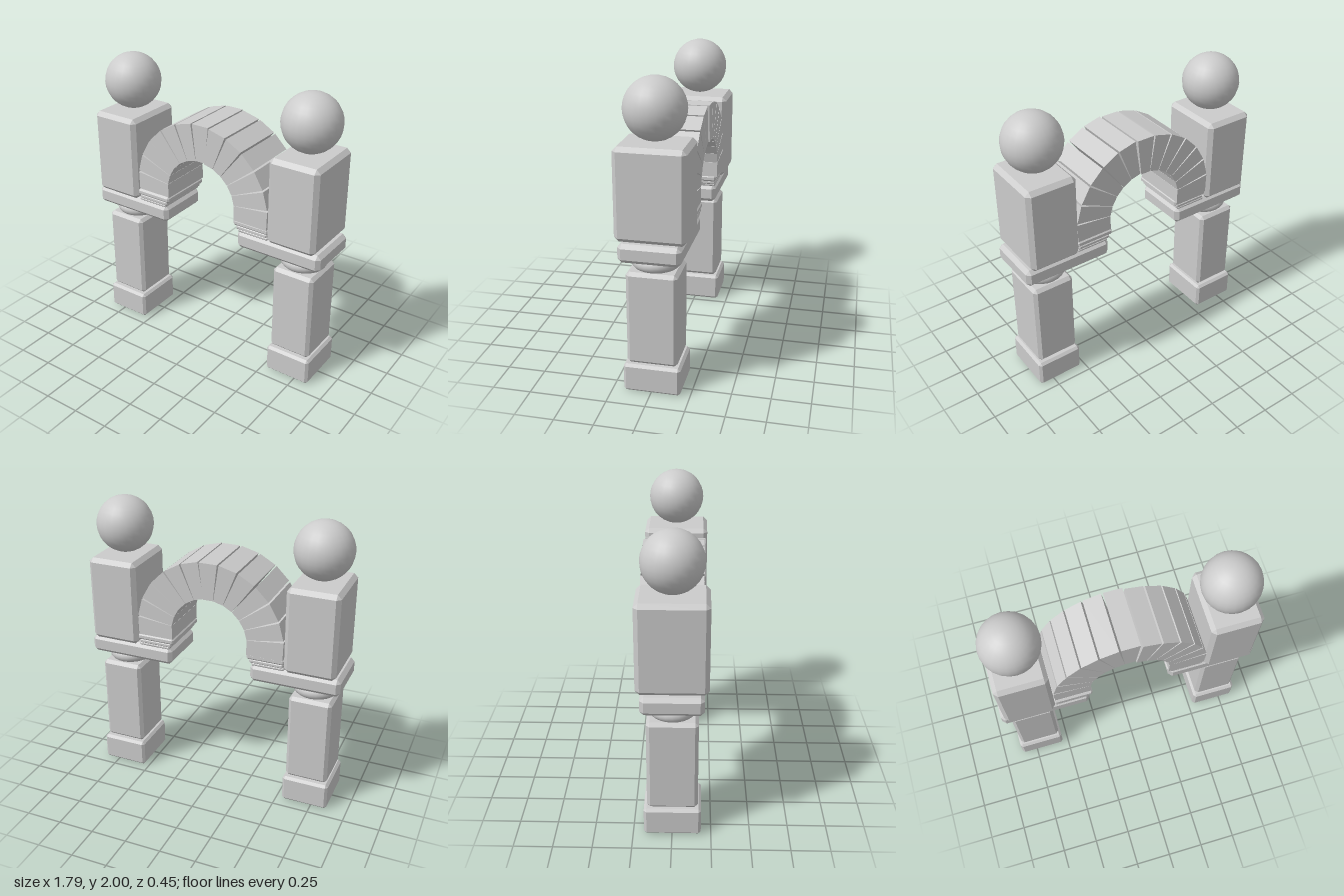
import * as THREE from 'three';
import { ConvexGeometry } from 'three/addons/geometries/ConvexGeometry.js';

const stoneMat = new THREE.MeshStandardMaterial({ color: 0xcccccc, flatShading: true });
const smoothMat = new THREE.MeshStandardMaterial({ color: 0xcccccc });

function add(parent, name, geometry, material, x = 0, y = 0, z = 0) {
  const mesh = new THREE.Mesh(geometry, material);
  mesh.name = name;
  mesh.position.set(x, y, z);
  parent.add(mesh);
  return mesh;
}

// Box with every edge chamfered by b
function chamferBox(w, h, d, b) {
  const points = [];
  for (const sx of [-1, 1]) for (const sy of [-1, 1]) for (const sz of [-1, 1]) {
    const x = sx * w / 2, y = sy * h / 2, z = sz * d / 2;
    points.push(
      new THREE.Vector3(x, y - sy * b, z - sz * b),
      new THREE.Vector3(x - sx * b, y, z - sz * b),
      new THREE.Vector3(x - sx * b, y - sy * b, z));
  }
  return new ConvexGeometry(points);
}

// One pillar; side is +1 or -1 and mirrors the offset parts
function createTower(side) {
  const tower = new THREE.Group();
  tower.name = side > 0 ? 'leftTower' : 'rightTower';
  tower.position.set(side * 0.692 - 0.004, 0, side > 0 ? -0.006 : 0.002);

  // name, width, bottom, top, depth, chamfer, shift away from the arch
  const blocks = [
    ['base', 0.322, 0.005, 0.195, 0.366, 0.017, 0.005],
    ['shaft', 0.293, 0.198, 0.82, 0.324, 0.022, 0.004],
    ['slab', 0.614, 0.9, 1.022, 0.392, 0.026, -0.102],
    ['upperBlock', 0.348, 1.022, 1.61, 0.446, 0.028, 0.004],
    ['impostFoot', 0.228, 1.018, 1.042, 0.386, 0.008, -0.285],
    ['impostNeck', 0.234, 1.036, 1.066, 0.392, 0.008, -0.294],
    ['impostCap', 0.266, 1.062, 1.106, 0.404, 0.012, -0.298],
  ];
  for (const [name, w, y0, y1, d, b, shift] of blocks) {
    add(tower, name, chamferBox(w, y1 - y0, d, b), stoneMat, side * shift, (y0 + y1) / 2, 0);
  }

  // Rounded collar under the slab
  const profile = [new THREE.Vector2(0, -0.043)];
  for (let i = 0; i <= 10; i++) {
    const a = -Math.PI / 2 + i * Math.PI / 10;
    profile.push(new THREE.Vector2(0.114 + 0.043 * Math.cos(a), 0.043 * Math.sin(a)));
  }
  profile.push(new THREE.Vector2(0, 0.043));
  add(tower, 'collar', new THREE.LatheGeometry(profile, 24), smoothMat, 0, 0.862, 0);

  add(tower, 'ball', new THREE.SphereGeometry(0.192, 24, 16), smoothMat, 0, 1.808, 0);
  return tower;
}

// Wedge stones in a half ring; the lowest pair have flat beds
function createArch() {
  const arch = new THREE.Group();
  arch.name = 'arch';
  const inner = 0.272, outer = 0.524, centreY = 1.169, bed = 1.1, depth = 0.4;
  const step = THREE.MathUtils.degToRad(15);
  for (let i = -6; i <= 6; i++) {
    const corner = (r, edge) => {
      const a = (i + edge / 2) * step;
      const half = edge * (r === outer ? 0.006 : 0.001);
      return new THREE.Vector2(
        r * Math.sin(a) - half * Math.cos(a),
        centreY + r * Math.cos(a) + half * Math.sin(a));
    };
    const points = [corner(inner, -1), corner(outer, -1), corner(outer, 1), corner(inner, 1)];
    if (i === 6) { points[2].set(0.517, bed); points[3].set(0.268, bed); }
    if (i === -6) { points[0].set(-0.268, bed); points[1].set(-0.517, bed); }
    const geometry = new THREE.ExtrudeGeometry(new THREE.Shape(points), { depth, bevelEnabled: false });
    add(arch, 'archStone', geometry, stoneMat, -0.003, 0, -depth / 2 - (i <= 0 ? 0.01 : 0));
  }
  return arch;
}

export function createModel() {
  const model = new THREE.Group();
  model.name = 'archway';
  model.add(createTower(1), createTower(-1), createArch());
  return model;
}
